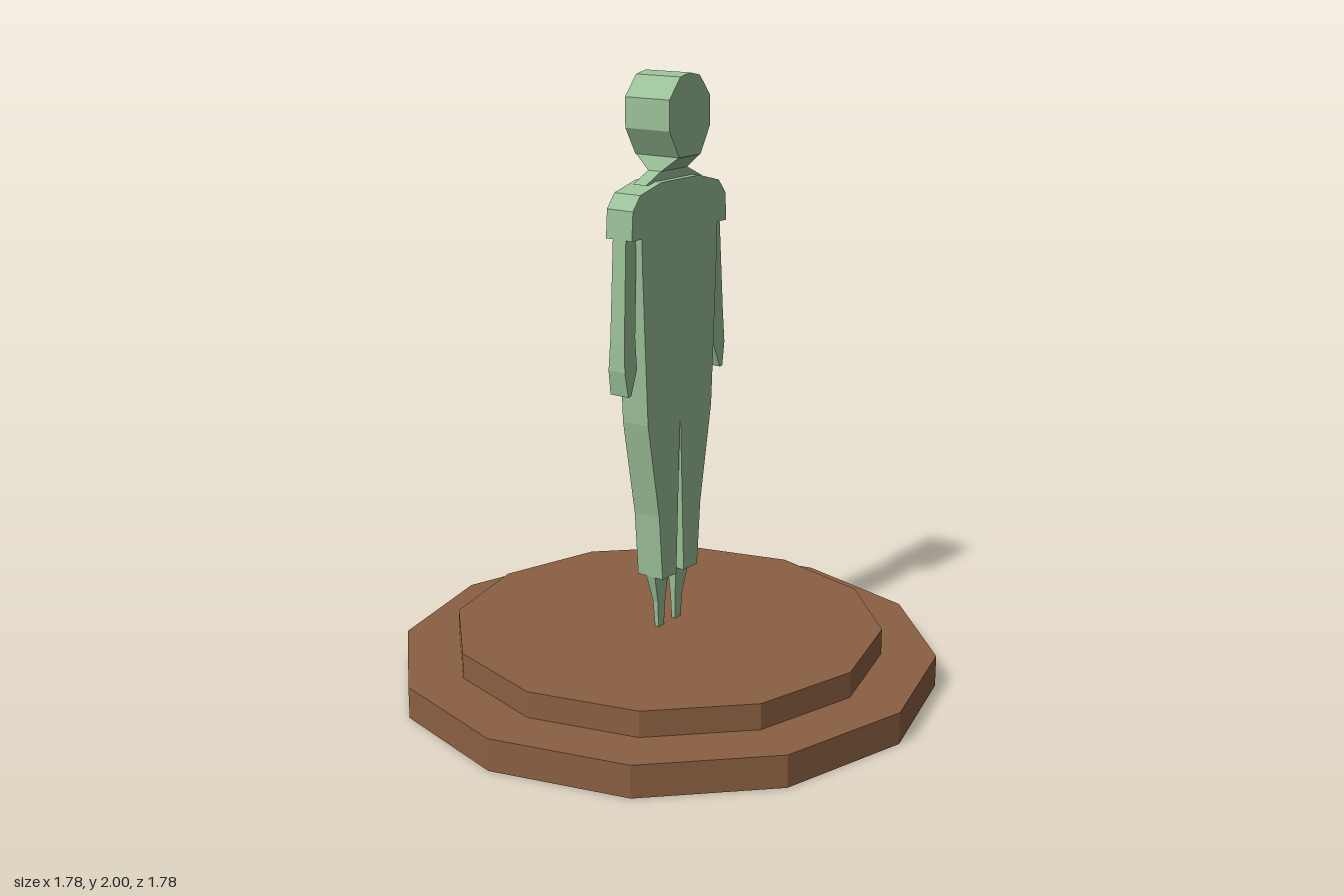
import * as THREE from 'three';

const green = new THREE.MeshStandardMaterial({ name: 'pale green', color: 0x9bc098, flatShading: true });
const brown = new THREE.MeshStandardMaterial({ name: 'wood brown', color: 0x8b5f42, flatShading: true });

// Flat slab cut from half an outline (top to bottom, x > 0), mirrored in x
function slab(name, half, depth) {
  const mirrored = half.map(([x, y]) => [-x, y]).reverse();
  const shape = new THREE.Shape([...half, ...mirrored].map(([x, y]) => new THREE.Vector2(x, y)));
  const geo = new THREE.ExtrudeGeometry(shape, { depth, bevelEnabled: false });
  geo.translate(0, 0, -depth / 2);
  const mesh = new THREE.Mesh(geo, green);
  mesh.name = name;
  return mesh;
}

// Rectangular loft through sections [y, x0, x1, z0, z1], listed from the bottom up
function loft(name, sections) {
  const pos = [];
  const index = [];
  for (const [y, x0, x1, z0, z1] of sections) {
    pos.push(x0, y, z1, x1, y, z1, x1, y, z0, x0, y, z0);
  }
  for (let i = 0; i < sections.length - 1; i++) {
    for (let k = 0; k < 4; k++) {
      const a = i * 4 + k;
      const b = i * 4 + (k + 1) % 4;
      index.push(a, b, b + 4, a, b + 4, a + 4);
    }
  }
  const t = (sections.length - 1) * 4;
  index.push(0, 3, 2, 0, 2, 1, t, t + 1, t + 2, t, t + 2, t + 3);
  let geo = new THREE.BufferGeometry();
  geo.setAttribute('position', new THREE.Float32BufferAttribute(pos, 3));
  geo.setIndex(index);
  geo = geo.toNonIndexed();
  geo.computeVertexNormals();
  const mesh = new THREE.Mesh(geo, green);
  mesh.name = name;
  return mesh;
}

const mirrorX = (sections) => sections.map(([y, x0, x1, z0, z1]) => [y, -x1, -x0, z0, z1]);

function disc(name, radius, y0, y1) {
  const mesh = new THREE.Mesh(new THREE.CylinderGeometry(radius, radius, y1 - y0, 12), brown);
  mesh.position.y = (y0 + y1) / 2;
  mesh.name = name;
  return mesh;
}

export function createModel() {
  const model = new THREE.Group();
  model.name = 'figurine';

  // Two-step twelve-sided plinth
  model.add(disc('lowerBase', 0.89, 0, 0.105), disc('upperBase', 0.71, 0.105, 0.19));

  // Figure stands slightly off the plinth's centre
  const figure = new THREE.Group();
  figure.name = 'figure';
  figure.position.set(-0.005, 0, 0.005);
  model.add(figure);

  figure.add(slab('head', [
    [0, 2], [0.05, 1.99], [0.105, 1.925], [0.105, 1.83], [0.055, 1.745],
  ], 0.17));

  // Neck narrows in depth, then spreads into the collar
  figure.add(loft('neck', [
    [1.665, -0.145, 0.145, -0.025, 0.025],
    [1.70, -0.068, 0.068, -0.025, 0.025],
    [1.747, -0.053, 0.053, -0.085, 0.085],
  ]));

  // Torso with short sleeves and trouser legs
  figure.add(slab('body', [
    [0.1, 1.672], [0.205, 1.645], [0.242, 1.6], [0.248, 1.51], [0.198, 1.51], [0.196, 1.42],
    [0.18, 1.1], [0.17, 0.91], [0.112, 0.59], [0.095, 0.375], [0.02, 0.375], [0.002, 0.89],
  ], 0.1));

  // Forearms with hands, and pointed feet
  const arm = [
    [1.02, 0.238, 0.252, -0.034, 0.036],
    [1.10, 0.205, 0.266, -0.03, 0.034],
    [1.20, 0.208, 0.262, -0.025, 0.03],
    [1.53, 0.194, 0.245, -0.025, 0.025],
  ];
  const foot = [
    [0.18, 0.032, 0.06, -0.007, 0.007],
    [0.28, 0.027, 0.068, -0.01, 0.01],
    [0.38, 0.02, 0.095, -0.018, 0.018],
  ];
  figure.add(loft('leftArm', arm), loft('rightArm', mirrorX(arm)));
  figure.add(loft('leftFoot', foot), loft('rightFoot', mirrorX(foot)));

  return model;
}
